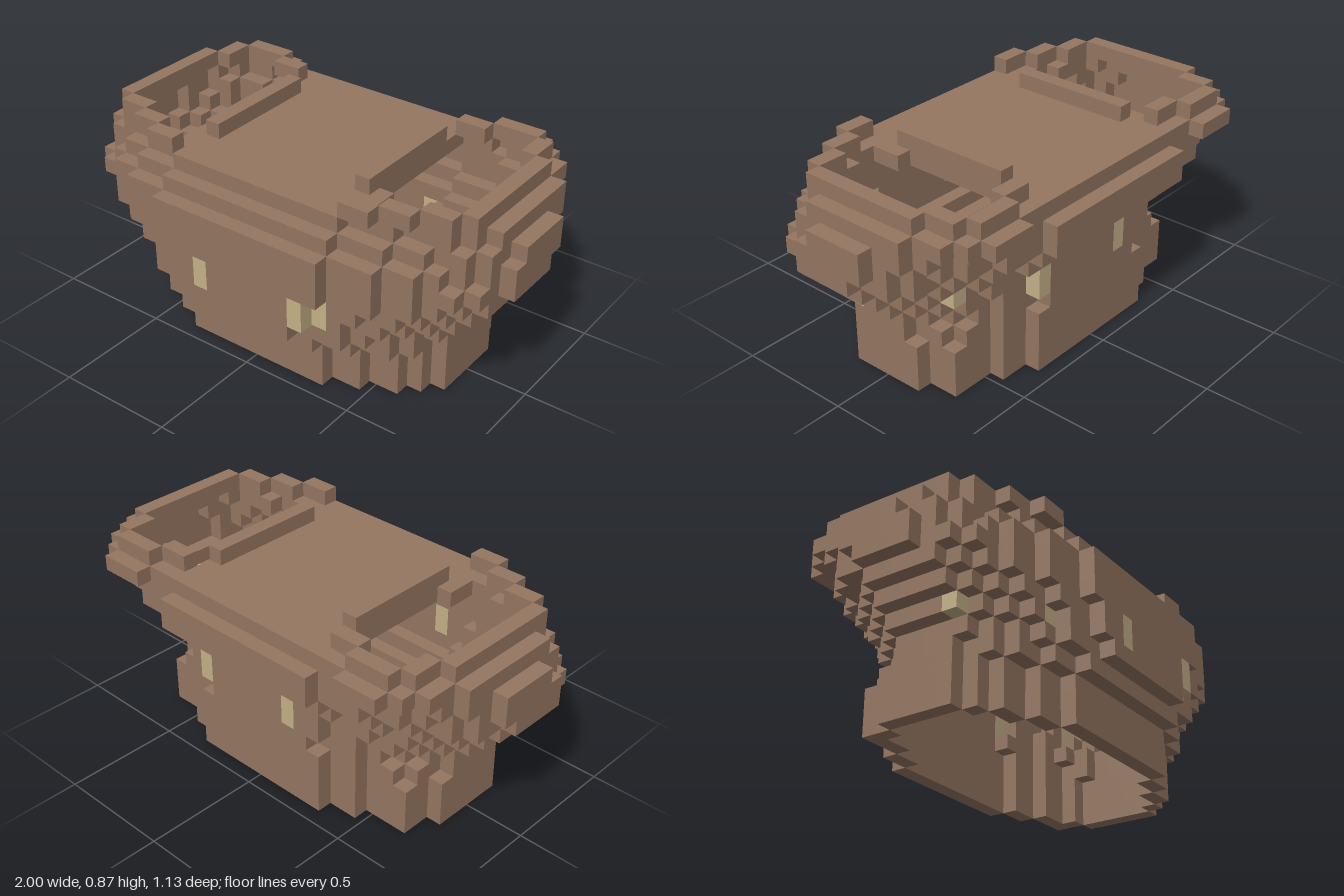
import * as THREE from 'three';
import { mergeGeometries } from 'three/addons/utils/BufferGeometryUtils.js';

const U = 1 / 15; // edge of one block

// per elliptical layer, bottom to top: half width, front row, back row (in blocks)
const LAYERS = [
  [11, 6, -6], [11, 6, -6], [11, 6, -6], [11, 7, -6], [11, 8, -6],
  [12, 8, -6], [13, 8, -6], [14, 8, -6], [15, 8, -7], [15, 8, -8], [15, 7, -8],
];
// half spans of the two rim layers, row by row from the back: from, to (mirrored)
const RIM = {
  11: [[8, 11], [0, 12], [0, 13], [0, 13], [0, 14], [0, 14], [0, 14], [0, 14], [0, 14],
    [0, 14], [0, 14], [0, 13], [0, 12], [0, 9], [0, 6]],
  12: [[0, 0], [8, 11], [6, 12], [0, 12], [0, 13], [0, 13], [0, 13], [0, 13], [0, 13],
    [0, 13], [0, 13], [0, 13], [0, 12], [0, 10], [0, 8]],
};
// pale blocks: column, layer, row
const PALE = [
  [-3, 5, 8], [-3, 6, 8], [4, 5, 8], [4, 6, 8], [5, 5, 7], [5, 6, 7],
  [-8, 5, 6], [-12, 5, 3], [11, 5, 1], [12, 6, 0], [9, 6, -4],
  [4, 5, -6], [4, 6, -6], [-3, 5, -6], [-3, 6, -6],
];

const mirrored = (i) => (i >= 0 ? i : -1 - i);

// filled outline of each layer
function inside(i, k, j) {
  if (k < 0) return true;
  if (k > 12) return false;
  const a = mirrored(i);
  if (RIM[k]) {
    const span = RIM[k][j + 8];
    return span !== undefined && a >= span[0] && a < span[1];
  }
  const [w, front, back] = LAYERS[k];
  if (j > front || j < back) return false;
  if (k < 3 && j === -4) return a < 10;
  const t = (j - (front + back) / 2) / ((front - back + 1) / 2);
  const bias = j === front || j === back ? 0.5 : 0.15;
  return a < Math.round(w * Math.sqrt(1 - t * t) + bias);
}

// decides which part, if any, a block belongs to
function partAt(i, k, j) {
  const a = mirrored(i);
  if (k === 12 && a === 5 && j >= -4 && j <= 3) return 'sideBar';
  if (!inside(i, k, j)) return null;
  if (k === 12 && a < 6) return null;
  if (k === 11 && (a < 6 || (a === 6 && (j === 3 || j === 4)))) return 'topPlate';
  const hidden = inside(i - 1, k, j) && inside(i + 1, k, j)
    && inside(i, k, j - 1) && inside(i, k, j + 1)
    && inside(i, k - 1, j) && (k === 12 || inside(i, k + 1, j));
  if (hidden) return null;
  if (PALE.some((p) => p[0] === i && p[1] === k && p[2] === j)) return 'palePatches';
  return k < 3 ? 'baseWall' : k < 8 ? 'flaredWall' : 'upperRim';
}

export function createModel() {
  const brown = new THREE.MeshStandardMaterial({ color: 0x947661 });
  brown.name = 'brown';
  const pale = new THREE.MeshStandardMaterial({ color: 0xc5b187 });
  pale.name = 'pale tan';

  // join neighbouring blocks of a row into one box
  const parts = {};
  for (let k = 0; k < 13; k++) {
    for (let j = -8; j <= 8; j++) {
      let start = -16;
      let current = null;
      for (let i = -16; i <= 16; i++) {
        const part = partAt(i, k, j);
        if (part === current) continue;
        if (current) {
          const box = new THREE.BoxGeometry((i - start) * U, U, U);
          box.translate(((i + start) / 2) * U, (k + 0.5) * U, j * U);
          (parts[current] ??= []).push(box);
        }
        start = i;
        current = part;
      }
    }
  }

  const group = new THREE.Group();
  group.name = 'blockShell';
  for (const [name, boxes] of Object.entries(parts)) {
    const mesh = new THREE.Mesh(mergeGeometries(boxes), name === 'palePatches' ? pale : brown);
    mesh.name = name;
    group.add(mesh);
  }
  return group;
}
